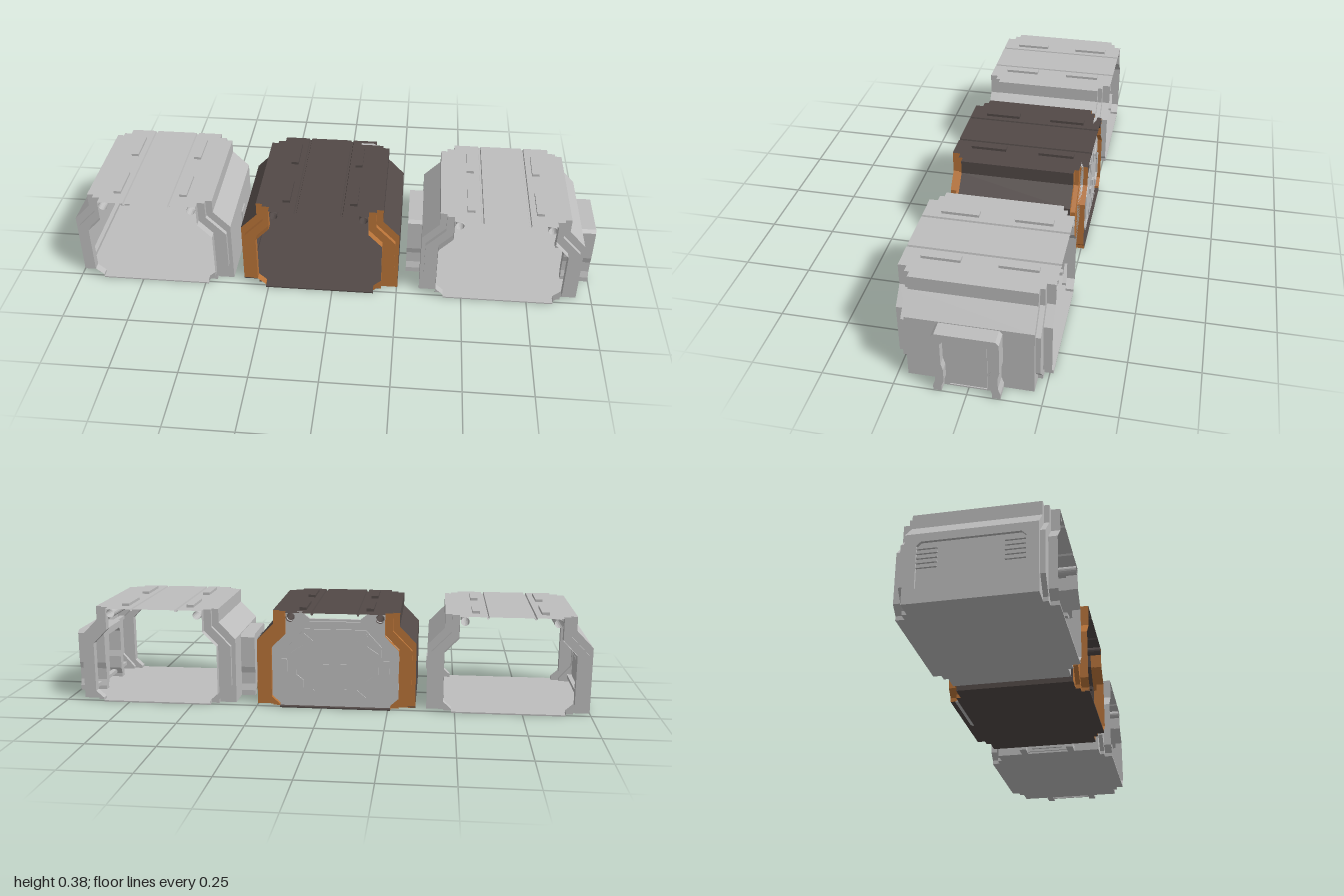
import * as THREE from 'three';

const mat = (name, color) => Object.assign(new THREE.MeshStandardMaterial({ color, side: THREE.DoubleSide, flatShading: true }), { name });
const TOP = 0.367;

// Half cross-sections (offset from centre, height): main hull, then two stepped end collars
const HULL = [[0.303, 0], [0.303, 0.25], [0.24, 0.315], [0.24, TOP]];
const MID = [[0.24, 0], [0.24, 0.015], [0.288, 0.07], [0.288, 0.225], [0.215, 0.3], [0.215, TOP]];
const END = [[0.21, 0], [0.21, 0.015], [0.24, 0.042], [0.24, 0.23], [0.187, 0.285], [0.187, TOP]];
const Z0 = 0.215, Z1 = 0.232, Z2 = 0.262;

const side = (pts, s) => s > 0 ? pts : pts.map(([x, y]) => [-x, y]).reverse();
const mirrorX = pts => [...pts, ...pts.map(([x, y]) => [-x, y]).reverse()];
const shapeOf = pts => new THREE.Shape(pts.map(p => new THREE.Vector2(...p)));

// Roof line of half-width w with two grooves
const roofLine = w => mirrorX([[w, TOP], [0.091, TOP], [0.089, 0.36], [0.083, 0.36], [0.081, TOP]]);

// Sheet that carries a profile from z = a to z = b
function ribbon(pts, a, b) {
  const v = [];
  for (let i = 0; i < pts.length - 1; i++) {
    const [p, q] = [pts[i], pts[i + 1]];
    v.push(...p, a, ...q, a, ...q, b, ...p, a, ...q, b, ...p, b);
  }
  const g = new THREE.BufferGeometry();
  g.setAttribute('position', new THREE.Float32BufferAttribute(v, 3));
  g.computeVertexNormals();
  return g;
}

function add(parent, name, geo, material, x = 0, y = 0, z = 0) {
  const m = new THREE.Mesh(geo, material);
  m.name = name;
  m.position.set(x, y, z);
  parent.add(m);
  return m;
}
const box = (parent, name, material, w, h, d, x, y, z) => add(parent, name, new THREE.BoxGeometry(w, h, d), material, x, y, z);
const extrude = (shape, depth) => new THREE.ExtrudeGeometry(shape, { depth, bevelEnabled: false });

// Group on a side wall: local x runs along the wall, local z points outward
function wallGroup(parent, name, s, offset) {
  const g = new THREE.Group();
  g.name = name;
  g.rotation.y = s * Math.PI / 2;
  g.position.x = s * offset;
  parent.add(g);
  return g;
}

function windowWall(parent, s, m) {
  const g = wallGroup(parent, 'windowWall', s, 0.291);
  const wall = shapeOf([[-Z0, 0], [Z0, 0], [Z0, 0.25], [-Z0, 0.25]]);
  const c = 0.014;
  wall.holes.push(shapeOf([[-0.175, 0.04 + c], [-0.175, 0.22 - c], [-0.175 + c, 0.22], [0.175 - c, 0.22],
    [0.175, 0.22 - c], [0.175, 0.04 + c], [0.175 - c, 0.04], [-0.175 + c, 0.04]]));
  add(g, 'wallFrame', extrude(wall, 0.012), m);
  box(g, 'recessedPanel', m, 0.36, 0.19, 0.004, 0, 0.13, 0);
}

// Shell, collars, floor, roof bars, tubes and inner walls shared by all modules
function hullModule(name, x, hull, trim, windows = []) {
  const g = new THREE.Group();
  g.name = name;
  g.position.x = x;
  add(g, 'roof', ribbon(roofLine(0.24), -Z0, Z0), hull);
  for (const s of [1, -1]) {
    const hasWindow = windows.includes(s);
    add(g, 'sideWall', ribbon(side(hasWindow ? HULL.slice(1) : HULL, s), -Z0, Z0), hull);
    if (hasWindow) windowWall(g, s, hull);
    for (const e of [1, -1]) {
      const span = (a, b) => e > 0 ? [a, b] : [-b, -a];
      add(g, 'innerCollar', ribbon(side(MID, s), ...span(Z0, Z1)), trim);
      add(g, 'outerCollar', ribbon(side(END, s), ...span(Z1, Z2)), trim);
      for (const [big, small, z] of [[HULL, MID, Z0], [MID, END, Z1]]) {
        const step = new THREE.ShapeGeometry(shapeOf([...big, ...[...small].reverse()]));
        const m = add(g, 'collarStep', step, trim, 0, 0, e * z);
        if (s < 0) m.rotation.y = Math.PI;
        if (s < 0) m.position.z = e * z;
      }
      box(g, 'roofBar', hull, 0.028, 0.01, 0.135, s * 0.127, TOP + 0.005, e * 0.131);
    }
    // Tube under the roof edge
    const tube = new THREE.CylinderGeometry(0.016, 0.016, Z2 * 2, 16, 1, true).rotateX(Math.PI / 2);
    add(g, 'roofTube', tube, hull, s * 0.168, 0.349, 0);
    // Inside rails and vent slats
    const inner = wallGroup(g, 'innerWall', s, 0.282);
    for (const y of [0.03, 0.235]) box(inner, 'wallRail', hull, 0.42, 0.014, 0.02, 0, y, 0);
    for (const zc of [-0.15, 0.15])
      for (let i = 0; i < 5; i++) box(inner, 'ventSlat', hull, 0.085, 0.006, 0.012, zc, 0.13 + i * 0.017, 0.012);
  }
  for (const e of [1, -1]) {
    add(g, 'roofEnd', ribbon(roofLine(0.215), ...(e > 0 ? [Z0, Z1] : [-Z1, -Z0])), hull);
    add(g, 'roofLip', ribbon(roofLine(0.187), ...(e > 0 ? [Z1, Z2] : [-Z2, -Z1])), hull);
  }
  // Floor with stepped corners
  const corner = [[0.303, Z0], [0.24, Z0], [0.24, Z1], [0.21, Z1], [0.21, Z2]];
  const half = mirrorX(corner);
  const floor = extrude(shapeOf([...half, ...half.map(([a, b]) => [-a, -b])]), 0.005);
  add(g, 'floor', floor.rotateX(-Math.PI / 2), hull);
  return g;
}

// Protruding doorway bay on a side wall
function doorBay(parent, s, m) {
  const outer = [[0.113, 0], [0.113, 0.02], [0.105, 0.045], [0.105, 0.09], [0.111, 0.115], [0.111, 0.235], [0.1, 0.247]];
  const inner = [[0.085, 0], [0.085, 0.02], [0.076, 0.045], [0.076, 0.095], [0.083, 0.12], [0.083, 0.205], [0.07, 0.22]];
  const arch = shapeOf([...mirrorX(outer), ...mirrorX(inner).reverse()]);
  const g = wallGroup(parent, 'doorBay', s, 0.303);
  add(g, 'doorFrame', extrude(arch, 0.055), m);
  add(g, 'innerDoorFrame', extrude(arch, 0.05), m, 0, 0, -0.052);
  box(g, 'doorPanel', m, 0.166, 0.22, 0.006, 0, 0.11, 0.022);
  box(g, 'doorInset', m, 0.13, 0.19, 0.006, 0, 0.107, 0.027);
  box(g, 'doorSill', m, 0.125, 0.005, 0.008, 0, 0.012, 0.03);
}

// Bulkhead with a two-leaf octagonal door closing the back
function bulkhead(parent, m) {
  const g = new THREE.Group();
  g.name = 'bulkhead';
  g.position.z = -0.245;
  parent.add(g);
  const wall = shapeOf(mirrorX([...END, [0.125, TOP], [0.095, 0.343]]));
  for (const s of [1, -1]) wall.holes.push(new THREE.Path().absarc(s * 0.168, 0.349, 0.015, 0, Math.PI * 2));
  add(g, 'bulkheadWall', extrude(wall, 0.012), m);
  const oct = [[0.004, 0.02], [0.115, 0.02], [0.175, 0.085], [0.175, 0.24], [0.115, 0.305], [0.004, 0.305]];
  const bracket = [[0.12, 0.08], [0.165, 0.11], [0.165, 0.215], [0.12, 0.245], [0.12, 0.215], [0.145, 0.195], [0.145, 0.13], [0.12, 0.11]];
  for (const s of [1, -1]) {
    add(g, 'doorLeaf', extrude(shapeOf(side(oct, s)), 0.026), m, 0, 0, -0.007);
    add(g, 'sideBracket', extrude(shapeOf(side(bracket, s)), 0.038), m, 0, 0, -0.013);
    box(g, 'doorHandle', m, 0.022, 0.024, 0.04, s * 0.033, 0.16, 0.006);
    for (const y of [0.055, 0.27]) {
      box(g, 'leafRib', m, 0.008, 0.04, 0.034, s * 0.04, y, 0.006);
      const brace = box(g, 'cornerBrace', m, 0.05, 0.009, 0.034, s * 0.1, y, 0.006);
      brace.rotation.z = s * (y > 0.16 ? 1 : -1) * 0.7;
    }
    box(g, 'hingeBlock', m, 0.022, 0.05, 0.03, s * 0.193, 0.162, 0.006);
  }
  box(g, 'lintel', m, 0.19, 0.012, 0.03, 0, 0.329, 0.006);
}

export function createModel() {
  const model = new THREE.Group();
  model.name = 'corridorModules';
  const grey = mat('light grey', 0xbebebe);
  const brown = mat('dark brown', 0x524947);
  const copper = mat('copper', 0xb87338);

  // Module with a recessed side panel
  const panelModule = hullModule('panelModule', -0.697, grey, grey, [-1]);
  box(panelModule, 'wallButton', grey, 0.006, 0.05, 0.055, 0.305, 0.14, -0.03);
  model.add(panelModule);

  // Central module closed at the back
  const centreModule = hullModule('centreModule', -0.05, brown, copper);
  bulkhead(centreModule, grey);
  model.add(centreModule);

  // Module with doorways on both sides
  const doorModule = hullModule('doorModule', 0.64, grey, grey);
  for (const s of [1, -1]) doorBay(doorModule, s, grey);
  model.add(doorModule);
  return model;
}
